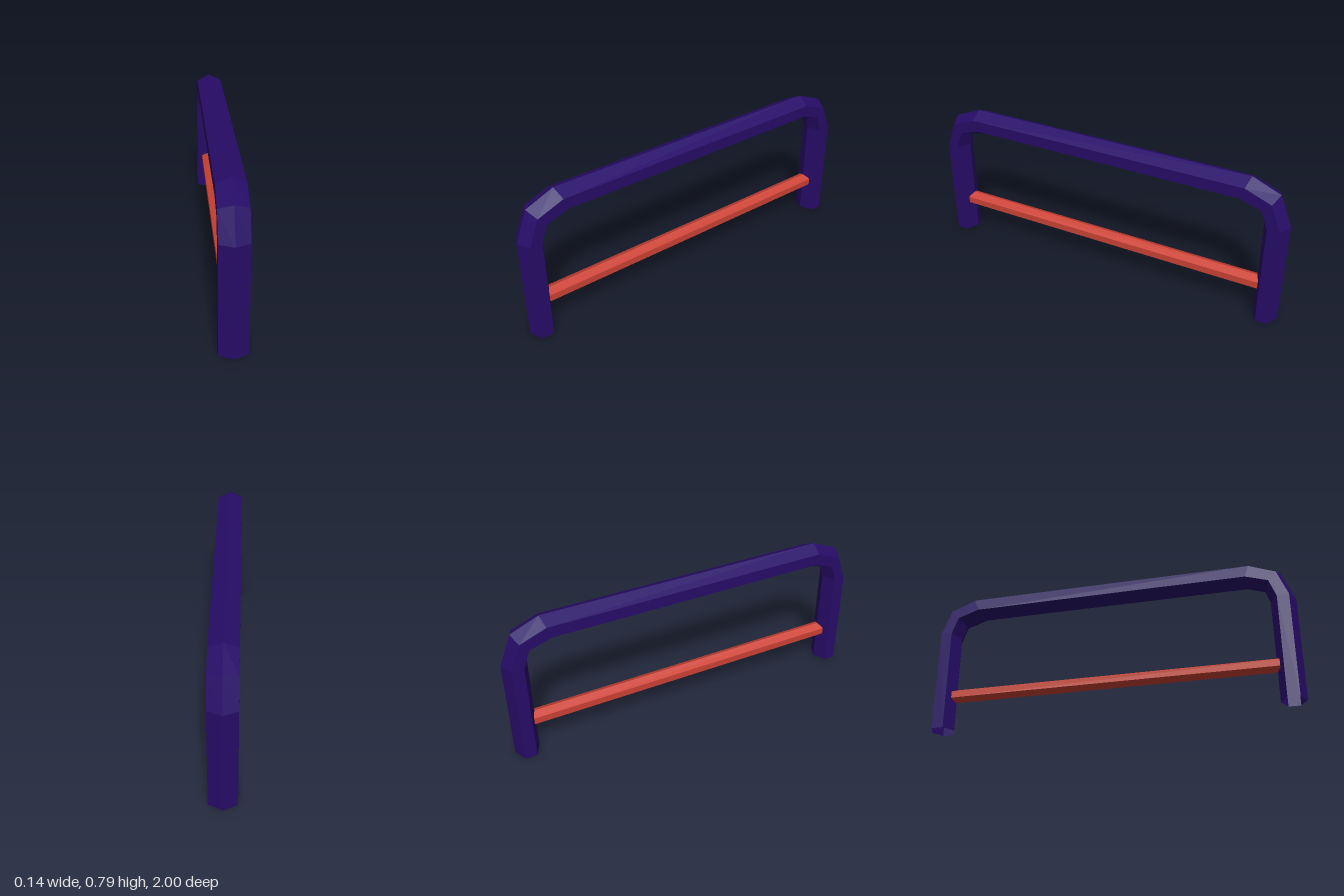
import * as THREE from 'three';

// Skin a strip of six-sided rings; each ring is a list of six Vector3
function loft(rings, capped) {
  const pos = [];
  const tri = (...pts) => pts.forEach((p) => pos.push(p.x, p.y, p.z));
  for (let i = 0; i < rings.length - 1; i++) {
    for (let j = 0; j < 6; j++) {
      const k = (j + 1) % 6;
      const a = rings[i][j], b = rings[i][k], c = rings[i + 1][k], d = rings[i + 1][j];
      tri(a, b, c);
      tri(a, c, d);
    }
  }
  if (capped) {
    const first = rings[0], last = rings[rings.length - 1];
    for (let j = 1; j < 5; j++) {
      tri(first[0], first[j + 1], first[j]);
      tri(last[0], last[j], last[j + 1]);
    }
  }
  const geo = new THREE.BufferGeometry();
  geo.setAttribute('position', new THREE.Float32BufferAttribute(pos, 3));
  geo.computeVertexNormals();
  return geo;
}

// Hexagonal ring between an outer and an inner ridge point, given as [z, y]
function ring(outer, inner, halfWidth) {
  const at = (x, t) => new THREE.Vector3(
    x,
    outer[1] + (inner[1] - outer[1]) * t,
    outer[0] + (inner[0] - outer[0]) * t,
  );
  const w = halfWidth;
  return [at(0, 0), at(-w, 0.26), at(-w, 0.74), at(0, 1), at(w, 0.74), at(w, 0.26)];
}

export function createModel() {
  const group = new THREE.Group();
  const purple = new THREE.MeshStandardMaterial({ color: 0x270c68, flatShading: true, side: THREE.DoubleSide });
  purple.name = 'deep purple';
  const red = new THREE.MeshStandardMaterial({ color: 0xcb4134, flatShading: true, side: THREE.DoubleSide });
  red.name = 'warm red';

  // Bent hoop: outer and inner ridges of one half, mirrored for the other
  const half = [
    [[1, 0], [0.87, 0]],
    [[1, 0.56], [0.87, 0.555]],
    [[0.935, 0.722], [0.845, 0.627]],
    [[0.785, 0.785], [0.74, 0.657]],
  ];
  const mirrored = half.map((pair) => pair.map(([z, y]) => [-z, y])).reverse();
  const hoopRings = [...half, ...mirrored].map(([o, i]) => ring(o, i, 0.07));
  const hoop = new THREE.Mesh(loft(hoopRings, false), purple);
  hoop.name = 'hoopFrame';
  group.add(hoop);

  // Straight lower rail between the legs
  const railRings = [0.885, -0.885].map((z) => ring([z, 0.235], [z, 0.159], 0.04));
  const rail = new THREE.Mesh(loft(railRings, true), red);
  rail.name = 'crossRail';
  group.add(rail);

  return group;
}
